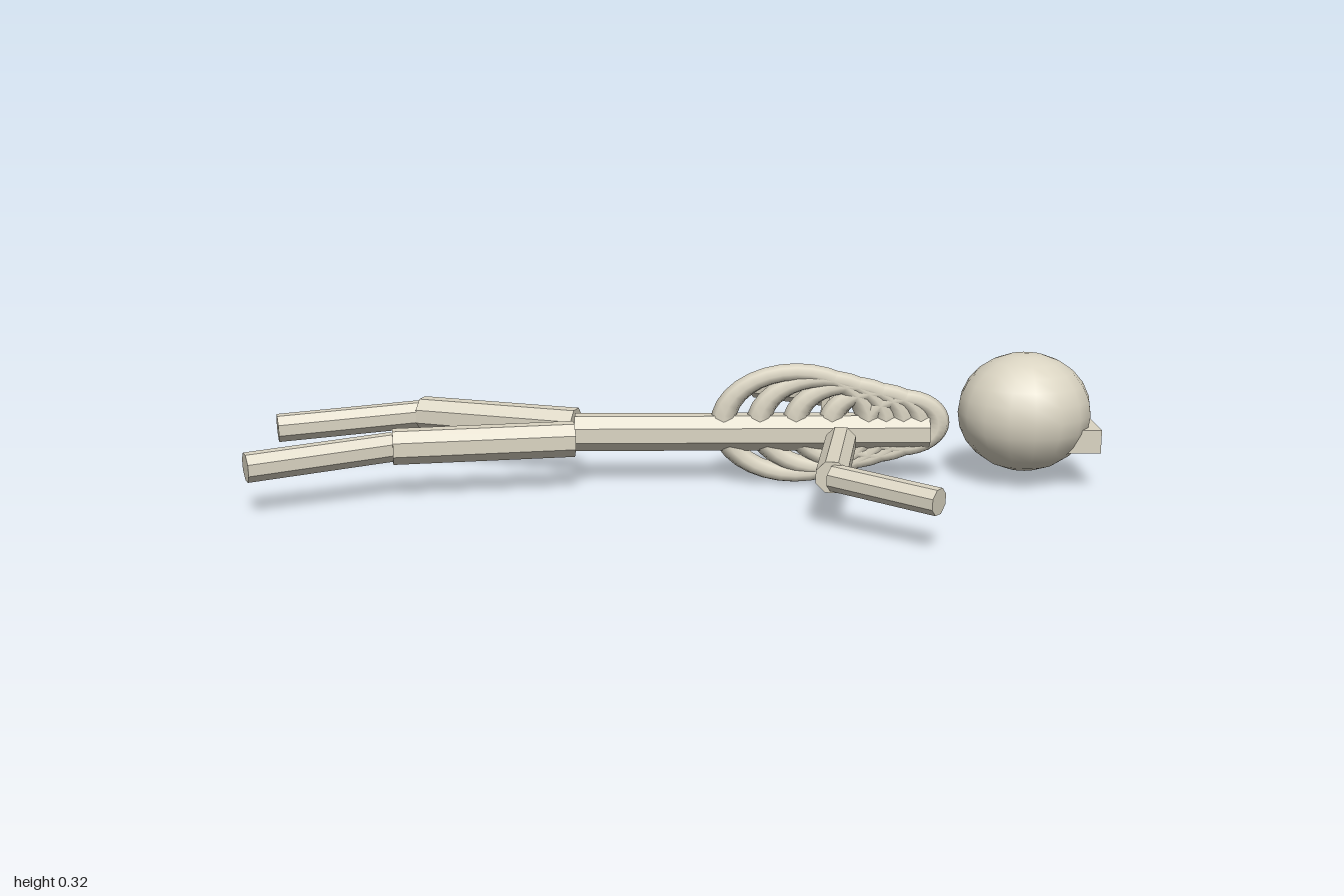
import * as THREE from 'three';

export function createModel() {
  const model = new THREE.Group();
  model.name = 'lyingSkeleton';
  const bone = new THREE.MeshStandardMaterial({ color: 0xdad4c2 });
  bone.name = 'bone';
  // faceted copy of the same colour for the straight bones
  const facetedBone = new THREE.MeshStandardMaterial({ color: 0xdad4c2, flatShading: true });
  facetedBone.name = 'facetedBone';

  const add = (name, geometry, material, x, y, z) => {
    const mesh = new THREE.Mesh(geometry, material);
    mesh.name = name;
    mesh.position.set(x, y, z);
    model.add(mesh);
    return mesh;
  };

  // Octagonal bone between two points, with a flat side facing up
  const addBone = (name, from, to, radius) => {
    const a = new THREE.Vector3(...from), b = new THREE.Vector3(...to);
    const geometry = new THREE.CylinderGeometry(radius, radius, a.distanceTo(b), 8, 1, false, Math.PI / 8);
    geometry.rotateX(Math.PI / 2);
    const mid = a.clone().add(b).multiplyScalar(0.5);
    add(name, geometry, facetedBone, mid.x, mid.y, mid.z).lookAt(b);
  };

  // Head and jaw
  const skull = new THREE.SphereGeometry(1, 16, 12);
  skull.scale(0.16, 0.143, 0.148);
  add('head', skull, bone, 0.83, 0.175, 0);
  add('jaw', new THREE.BoxGeometry(0.13, 0.056, 0.168), facetedBone, 0.935, 0.12, 0);

  // Spine
  addBone('spine', [-0.25, 0.127, 0], [0.6, 0.127, 0], 0.046);

  // Rib rings, shrinking towards the neck
  for (let i = 0; i < 5; i++) {
    const ring = new THREE.TorusGeometry(0.175 - i * 0.0225, 0.03, 8, 32);
    ring.scale(1, 0.715, 1);
    add('rib' + (i + 1), ring, bone, 0.28 + i * 0.064, 0.148, 0);
  }

  // Arms
  addBone('leftUpperArm', [0.382, 0.122, 0.08], [0.33, 0.122, 0.395], 0.038);
  addBone('leftForearm', [0.334, 0.122, 0.395], [0.543, 0.112, 0.555], 0.031);
  addBone('rightUpperArm', [0.382, 0.122, -0.08], [0.415, 0.122, -0.395], 0.038);
  addBone('rightForearm', [0.416, 0.122, -0.4], [0.215, 0.112, -0.557], 0.031);

  // Legs
  addBone('leftThigh', [-0.25, 0.127, 0.065], [-0.67, 0.127, 0.132], 0.043);
  addBone('leftShin', [-0.67, 0.125, 0.125], [-0.985, 0.113, 0.262], 0.035);
  addBone('rightThigh', [-0.25, 0.127, -0.07], [-0.64, 0.127, -0.2], 0.043);
  addBone('rightShin', [-0.645, 0.125, -0.2], [-0.985, 0.113, -0.107], 0.035);

  return model;
}
